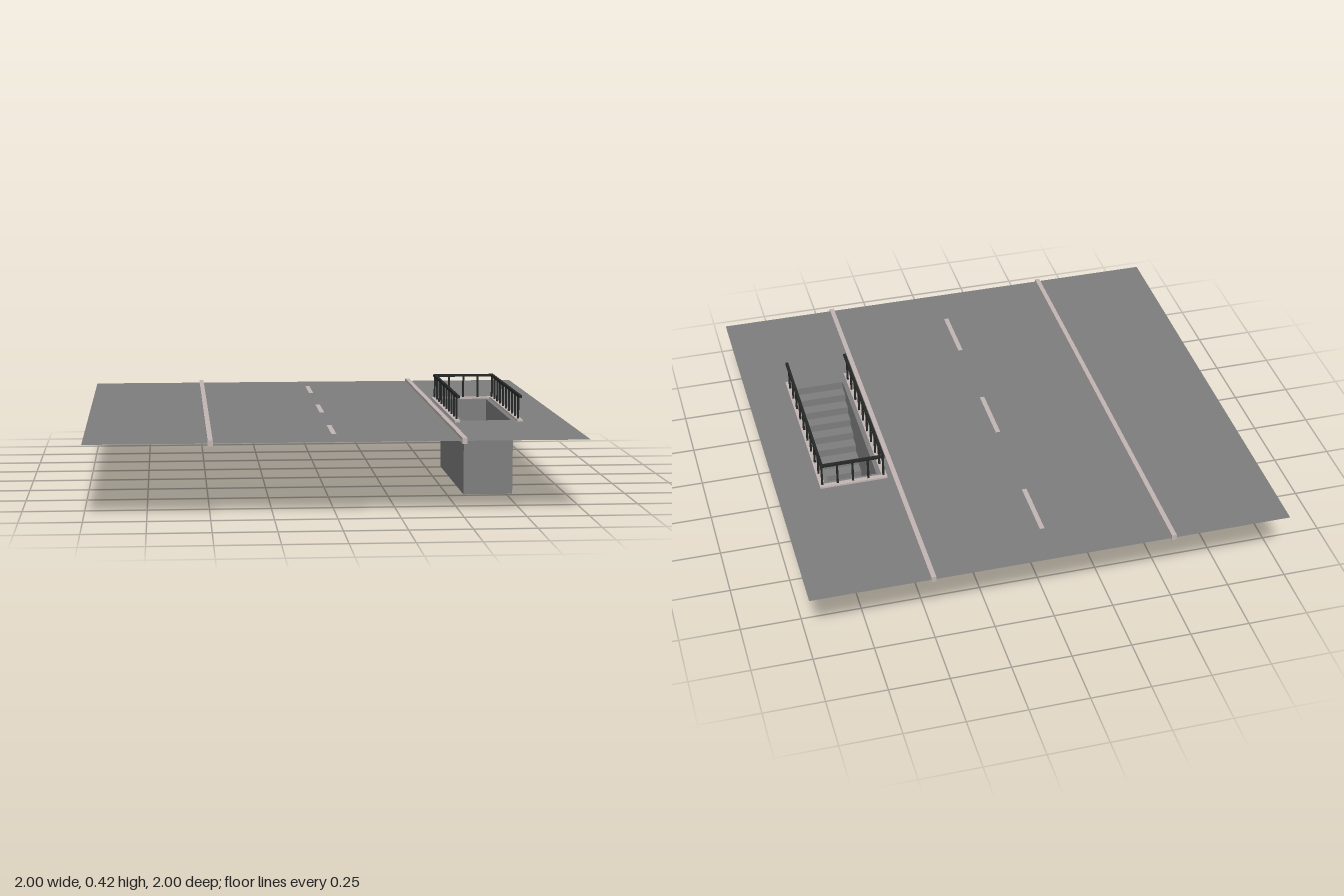
import * as THREE from 'three';

const ROAD_Y = 0.305;
const PIT = { x0: 0.57, x1: 0.777, back: -0.272, front: 0.475, stairTop: 0.42 };

export function createModel() {
  const model = new THREE.Group();
  model.name = 'streetWithUnderpass';

  const asphalt = new THREE.MeshStandardMaterial({ color: 0x7e7e7e, side: THREE.DoubleSide });
  asphalt.name = 'asphalt grey';
  const stone = new THREE.MeshStandardMaterial({ color: 0xc2b6b3 });
  stone.name = 'pale stone';
  const iron = new THREE.MeshStandardMaterial({ color: 0x262828 });
  iron.name = 'dark iron';

  function add(parent, name, geometry, material) {
    const mesh = new THREE.Mesh(geometry, material);
    mesh.name = name;
    parent.add(mesh);
    return mesh;
  }
  // Box given by its limits on each axis
  function box(parent, name, material, [x0, x1], [y0, y1], [z0, z1]) {
    const mesh = add(parent, name, new THREE.BoxGeometry(x1 - x0, y1 - y0, z1 - z0), material);
    mesh.position.set((x0 + x1) / 2, (y0 + y1) / 2, (z0 + z1) / 2);
    return mesh;
  }

  // Flat road sheet with the stairwell opening
  const sheet = new THREE.Shape();
  sheet.moveTo(-1, -1).lineTo(1, -1).lineTo(1, 1).lineTo(-1, 1).closePath();
  const opening = new THREE.Path();
  opening.moveTo(PIT.x0, -PIT.stairTop).lineTo(PIT.x0, -PIT.back)
    .lineTo(PIT.x1, -PIT.back).lineTo(PIT.x1, -PIT.stairTop).closePath();
  sheet.holes.push(opening);
  add(model, 'road', new THREE.ShapeGeometry(sheet).rotateX(-Math.PI / 2), asphalt).position.y = ROAD_Y;

  // Kerbs and centre dashes
  for (const x of [-0.5, 0.5]) {
    box(model, 'kerb', stone, [x - 0.01, x + 0.01], [0.293, 0.317], [-1, 1]);
  }
  for (const z of [-0.673, 0.01, 0.66]) {
    const dash = add(model, 'laneDash', new THREE.PlaneGeometry(0.02, 0.27).rotateX(-Math.PI / 2), stone);
    dash.position.set(0, ROAD_Y + 0.002, z);
  }

  // Stairwell walls and floor
  const well = new THREE.Group();
  well.name = 'stairwell';
  model.add(well);
  const width = PIT.x1 - PIT.x0, length = PIT.front - PIT.back;
  const midX = (PIT.x0 + PIT.x1) / 2, midZ = (PIT.front + PIT.back) / 2;
  for (const [x, side] of [[PIT.x0, -1], [PIT.x1, 1]]) {
    const wall = add(well, 'sideWall', new THREE.PlaneGeometry(length, ROAD_Y), asphalt);
    wall.position.set(x, ROAD_Y / 2, midZ);
    wall.rotation.y = side * Math.PI / 2;
  }
  for (const [z, turn] of [[PIT.back, Math.PI], [PIT.front, 0]]) {
    const wall = add(well, 'endWall', new THREE.PlaneGeometry(width, ROAD_Y), asphalt);
    wall.position.set(midX, ROAD_Y / 2, z);
    wall.rotation.y = turn;
  }
  const floor = add(well, 'floor', new THREE.PlaneGeometry(width, length).rotateX(Math.PI / 2), asphalt);
  floor.position.set(midX, 0, midZ);

  // Steps going down from the front towards the back
  const steps = 9, rise = ROAD_Y / steps, run = 0.0505;
  for (let i = 0; i < steps; i++) {
    const z = PIT.stairTop - i * run;
    const top = ROAD_Y - i * rise;
    const riser = add(well, 'riser', new THREE.PlaneGeometry(width, rise).rotateY(Math.PI), asphalt);
    riser.position.set(midX, top - rise / 2, z);
    if (i === steps - 1) continue;
    const tread = add(well, 'tread', new THREE.PlaneGeometry(width, run).rotateX(-Math.PI / 2), asphalt);
    tread.position.set(midX, top - rise, z - run / 2);
  }

  // Stone ledge on three sides of the opening
  const ledgeY = [ROAD_Y, 0.313];
  box(model, 'sideLedge', stone, [0.531, 0.553], ledgeY, [-0.315, PIT.front]);
  box(model, 'sideLedge', stone, [0.796, 0.818], ledgeY, [-0.315, PIT.front]);
  box(model, 'backLedge', stone, [0.553, 0.796], ledgeY, [-0.315, -0.293]);

  // Railing
  const railing = new THREE.Group();
  railing.name = 'railing';
  model.add(railing);
  const left = 0.545, right = 0.806, backZ = -0.301, r = 0.006;
  const railY = [0.406, 0.417];
  const post = (x, z) => box(railing, 'post', iron,
    [x - 0.004, x + 0.004], [0.313, 0.406], [z - 0.004, z + 0.004]);
  for (const x of [left, right]) {
    box(railing, 'sideRail', iron, [x - r, x + r], railY, [backZ - r, PIT.front]);
    for (let i = 0; i < 10; i++) post(x, backZ + 0.004 + i * 0.0802);
  }
  box(railing, 'backRail', iron, [left + r, right - r], railY, [backZ - r, backZ + r]);
  for (let i = 1; i < 4; i++) post(left + (right - left) * i / 4, backZ);

  return model;
}
